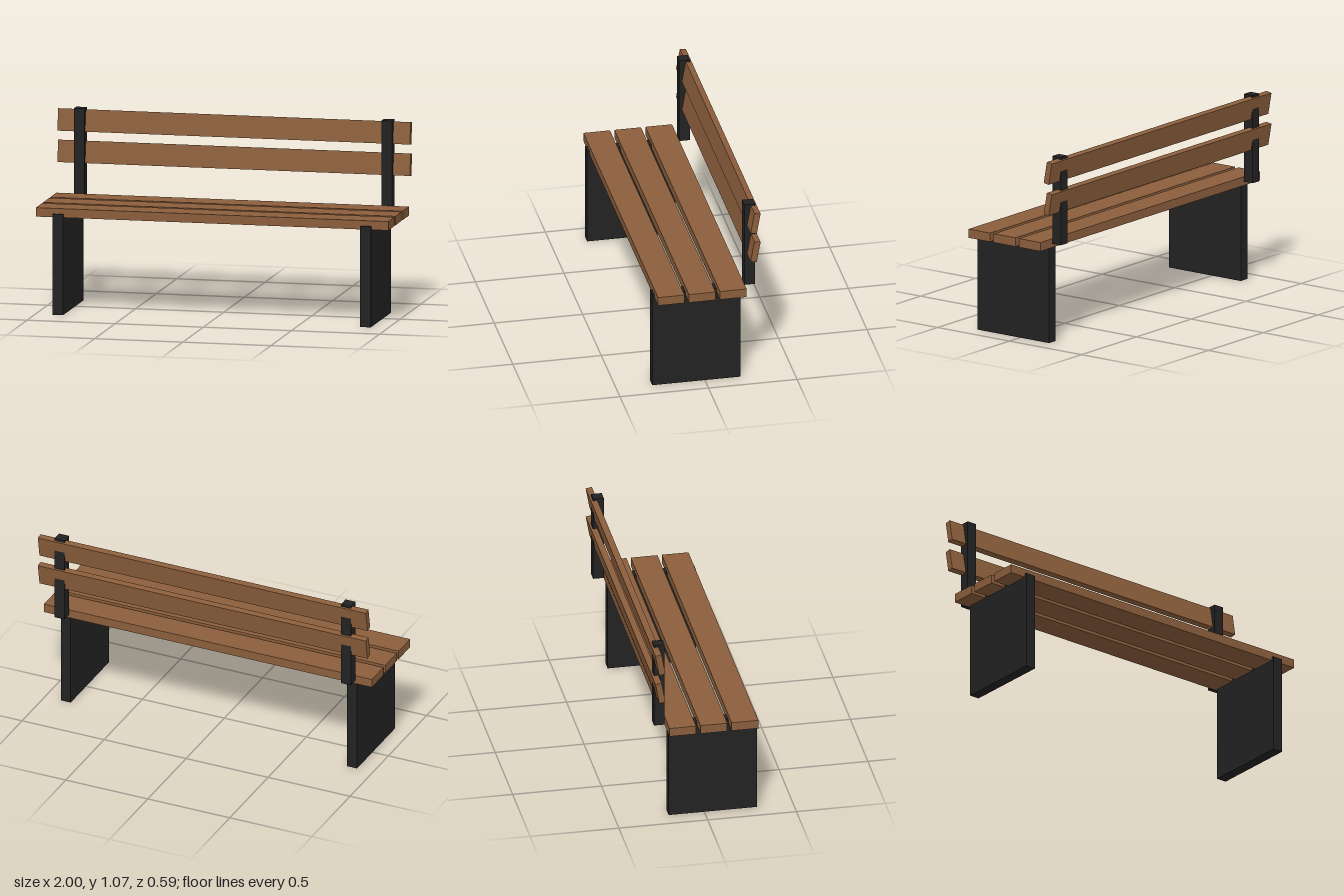
import * as THREE from 'three';

export function createModel() {
  const bench = new THREE.Group();
  bench.name = 'bench';

  const wood = new THREE.MeshStandardMaterial({ color: 0x8b5e3c });
  wood.name = 'brown wood';
  const metal = new THREE.MeshStandardMaterial({ color: 0x222222 });
  metal.name = 'black metal';

  const addBox = (name, size, position, material) => {
    const mesh = new THREE.Mesh(new THREE.BoxGeometry(...size), material);
    mesh.name = name;
    mesh.position.set(...position);
    bench.add(mesh);
    return mesh;
  };

  // Solid leg panels and the posts that carry the backrest
  for (const [side, s] of [['left', 1], ['right', -1]]) {
    addBox(`${side}LegPanel`, [0.06, 0.565, 0.498], [s * 0.873, 0.2825, 0.048], metal);
    addBox(`${side}BackPost`, [0.06, 0.5, 0.06], [s * 0.873, 0.82, -0.253], metal);
  }

  // Three seat planks
  [0.21, 0.035, -0.14].forEach((z, i) =>
    addBox(`seatPlank${i + 1}`, [2, 0.05, 0.15], [0, 0.57, z], wood));

  // Two backrest planks, leaning back through the posts
  [0.821, 0.997].forEach((y, i) => {
    const plank = addBox(`backPlank${i + 1}`, [2, 0.124, 0.035], [0, y, -0.266], wood);
    plank.rotation.x = -0.175;
  });

  return bench;
}
